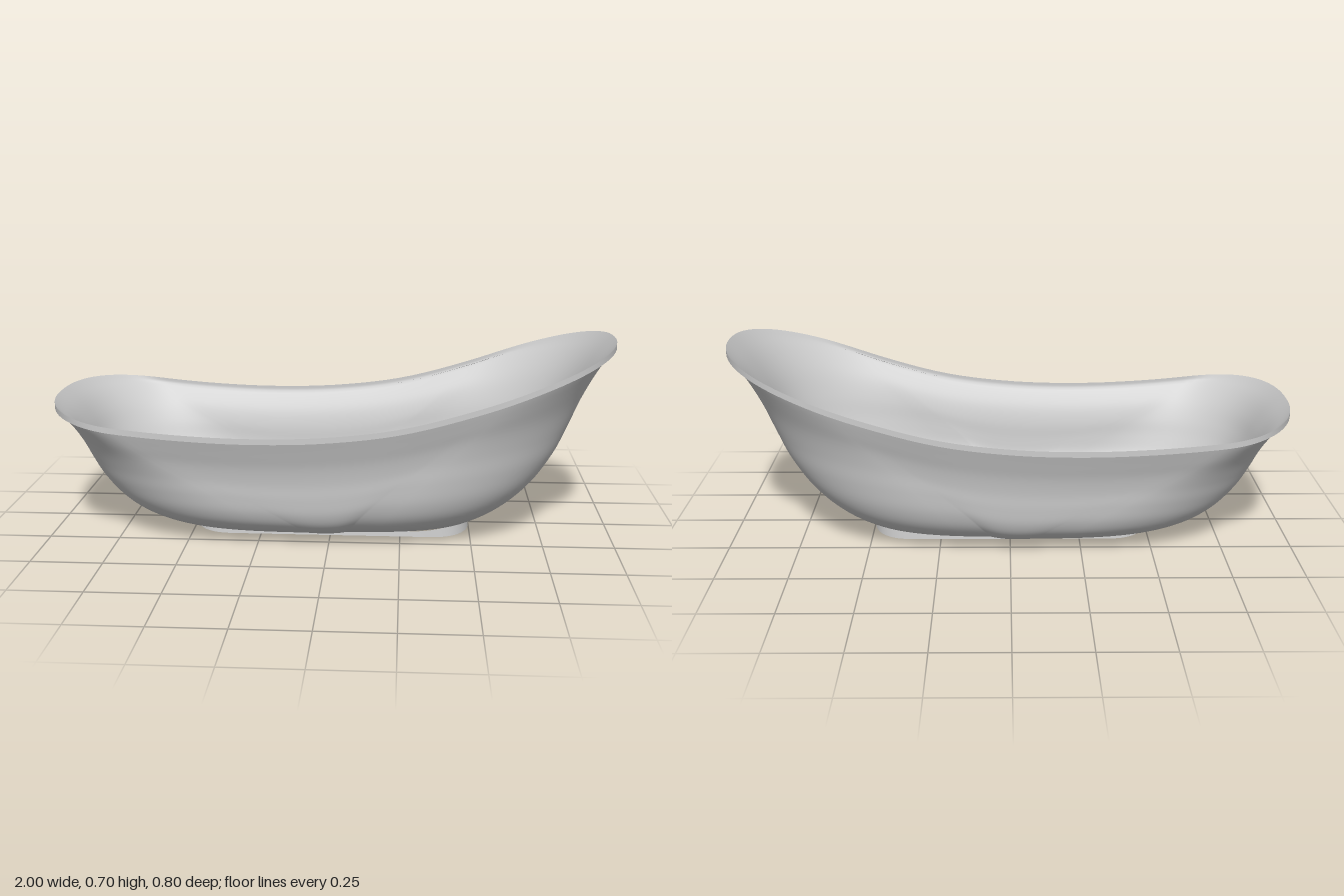
import * as THREE from 'three';

const CAP = 40, SIDE = 24; // columns around each rounded end and along each side
const lerp = THREE.MathUtils.lerp;

// Height of the rim along the length, from the low end to the high end
const rimCurve = new THREE.CatmullRomCurve3(
  [0.483, 0.447, 0.424, 0.415, 0.424, 0.457, 0.525, 0.613, 0.702]
    .map((y, i) => new THREE.Vector3(-1 + i * 0.25, y, 0)), false, 'catmullrom');
const rimHeight = (x) => rimCurve.getPoint(THREE.MathUtils.clamp((x + 1) / 2, 0, 1)).y;

// Wall sections: height fraction, low-end reach, high-end reach, half width
const sections = [
  [1, 0.985, 0.985, 0.398], [0.88, 0.945, 0.935, 0.382], [0.75, 0.912, 0.89, 0.366],
  [0.6, 0.88, 0.847, 0.355], [0.45, 0.84, 0.8, 0.35], [0.3, 0.78, 0.73, 0.34],
  [0.18, 0.705, 0.645, 0.315], [0.09, 0.61, 0.55, 0.268], [0.03, 0.5, 0.45, 0.19],
  [0, 0.25, 0.23, 0.1], [0, 0, 0, 0],
];
const sizes = new THREE.CatmullRomCurve3(
  sections.map((s) => new THREE.Vector3(s[1], s[2], s[3])), false, 'catmullrom');
const levels = new THREE.CatmullRomCurve3(
  sections.map((s) => new THREE.Vector3(s[0], 0, 0)), false, 'catmullrom');

// Plan outline: two rounded ends joined by straight sides, always the same column count
function outline(low, high, half, startLow, startHigh, power) {
  const pts = [];
  const end = (sign, reach, start, from) => {
    for (let i = 0; i <= CAP; i++) {
      const a = from + (Math.PI * i) / CAP;
      const c = Math.abs(Math.cos(a)) ** (2 / power);
      const s = Math.sign(Math.sin(a)) * Math.abs(Math.sin(a)) ** (2 / power);
      pts.push([sign * reach * (start + (1 - start) * c), half * s]);
    }
  };
  const side = (from, to, z) => {
    for (let i = 1; i < SIDE; i++) pts.push([lerp(from, to, i / SIDE), z]);
  };
  end(1, high, startHigh, -Math.PI / 2);
  side(high * startHigh, -low * startLow, half);
  end(-1, low, startLow, Math.PI / 2);
  side(-low * startLow, high * startHigh, -half);
  return pts;
}

const rim = outline(1, 1, 0.4, 0.7, 0.55, 2.3);
const rimY = rim.map(([x]) => rimHeight(x));

// Ring of the tub wall; yOf turns the rim height into the ring height
function ring(low, high, half, f, yOf) {
  const k = THREE.MathUtils.smoothstep(f, 0, 1);
  return outline(low, high, half, lerp(0.12, 0.7, k), lerp(0.12, 0.55, k), lerp(2.9, 2.3, k))
    .map(([x, z], j) => new THREE.Vector3(x, yOf(rimY[j]), z));
}

// Join closed rings into a smooth surface
function loft(rings) {
  const n = rings[0].length, pos = [], idx = [];
  rings.forEach((r) => r.forEach((p) => pos.push(p.x, p.y, p.z)));
  for (let i = 0; i < rings.length - 1; i++) {
    for (let j = 0; j < n; j++) {
      const a = i * n + j, b = i * n + ((j + 1) % n);
      idx.push(a, b, a + n, b, b + n, a + n);
    }
  }
  const g = new THREE.BufferGeometry();
  g.setAttribute('position', new THREE.Float32BufferAttribute(pos, 3));
  g.setIndex(idx);
  g.computeVertexNormals();
  return g;
}

export function createModel() {
  const group = new THREE.Group();
  const enamel = new THREE.MeshStandardMaterial({ color: 0xcccccc });
  enamel.name = 'grey enamel';
  const add = (name, rings) => {
    const mesh = new THREE.Mesh(loft(rings), enamel);
    mesh.name = name;
    group.add(mesh);
  };

  // Outer and inner walls follow the same sections
  const ROWS = 50, outer = [], inner = [];
  for (let i = 0; i <= ROWS; i++) {
    const s = sizes.getPoint(i / ROWS), f = levels.getPoint(i / ROWS).x;
    outer.push(ring(s.x, s.y, s.z, f, (h) => 0.004 + f * (h - 0.024)));
    const d = -0.015 + 0.03 * f ** 6;
    const grow = (v, max) => THREE.MathUtils.clamp(v + d, 0, max);
    inner.unshift(ring(grow(s.x, 1), grow(s.y, 1), grow(s.z, 0.4), f, (h) => 0.022 + f * (h - 0.022)));
  }
  add('outerWall', outer);
  add('innerBasin', inner);

  // Thin band around the rim, and its underside
  const top = ring(1, 1, 0.4, 1, (h) => h);
  const bottom = ring(1, 1, 0.4, 1, (h) => h - 0.02);
  add('rimBand', [inner[ROWS], top, bottom]);
  add('rimUnderside', [bottom, outer[0]]);

  // Shallow plinth, rising into the curve of the hull at the high end
  const foot = (scale, yOf) => outline(0.5 * scale, 0.5 * scale, 0.177 * scale, 0.7, 0.7, 2.4)
    .map(([x, z]) => new THREE.Vector3(x, yOf(x), z));
  const floor = foot(1, () => 0);
  add('plinthSide', [foot(0.99, (x) => 0.02 + (x > 0 ? 0.024 : 0.006) * THREE.MathUtils.smoothstep(Math.abs(x), 0.3, 0.5)), floor]);
  add('plinthBase', [floor, foot(0, () => 0)]);
  return group;
}
